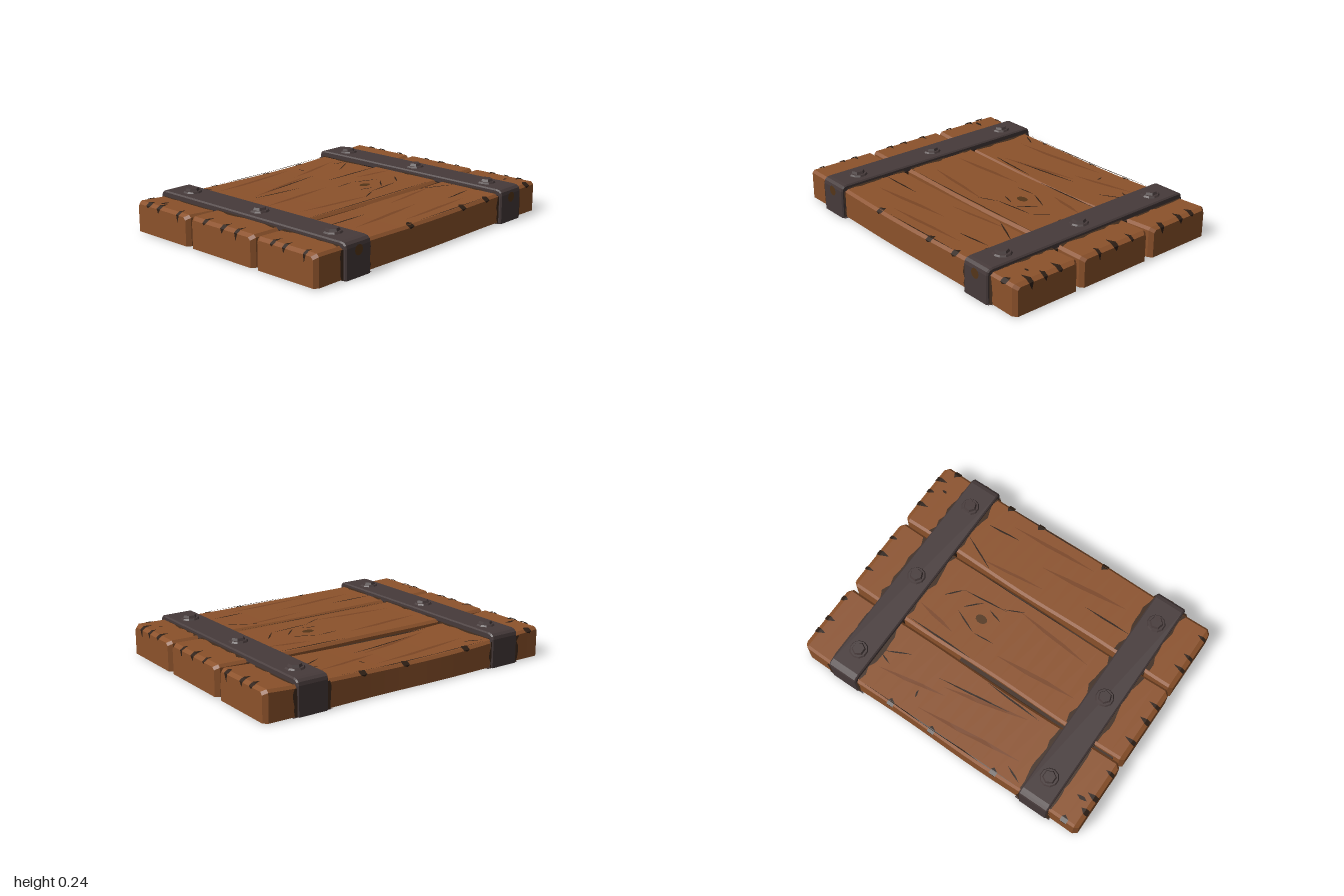
import * as THREE from 'three';

const mat = (name, color, side = THREE.FrontSide) => {
  const m = new THREE.MeshStandardMaterial({ color, side });
  m.name = name;
  return m;
};

export function createModel() {
  const root = new THREE.Group();
  root.name = 'plankPanel';
  const wood = mat('wood', 0x8c522b);
  const grain = mat('darkGrain', 0x7b4625, THREE.DoubleSide);
  const stain = mat('stain', 0x3f2b1d, THREE.DoubleSide);
  const crack = mat('crack', 0x2e1f15, THREE.DoubleSide);
  const knotWood = mat('knotWood', 0x543519, THREE.DoubleSide);
  const iron = mat('iron', 0x463a3a, THREE.DoubleSide);

  let seed = 7;
  const rnd = () => (seed = (seed * 16807) % 2147483647) / 2147483647;
  const add = (name, geo, material, parent = root) => {
    const m = new THREE.Mesh(geo, material);
    m.name = name;
    parent.add(m);
    return m;
  };
  const flat = (g) => {
    const f = g.index ? g.toNonIndexed() : g;
    f.computeVertexNormals();
    return f;
  };
  const faces = (pts, index) => {
    const g = new THREE.BufferGeometry();
    g.setAttribute('position', new THREE.Float32BufferAttribute(pts.flat(), 3));
    g.setIndex(index);
    return flat(g);
  };

  // Height of the worn top surface; the back plank sags in the middle
  const top = (x, z) => 0.181 + 0.011 * x * x - (z < -0.27 ? 0.024 * (1 - x * x) : 0);
  const C = 0.016, END = 0.996;

  // Planks: chamfered cross-sections lofted along x
  const planks = [
    { name: 'backPlank', z0: -0.75, z1: -0.283 },
    { name: 'middlePlank', z0: -0.262, z1: 0.262 },
    { name: 'frontPlank', z0: 0.286, z1: 0.74 },
  ];
  planks.forEach(({ name, z0, z1 }, k) => {
    const xs = [-END, -0.97];
    for (let i = -9; i <= 9; i++) xs.push(i / 10);
    xs.push(0.97, END);
    const pts = [], idx = [], n = 6;
    xs.forEach((x, i) => {
      const tip = Math.abs(x) === END ? 0.02 : 0;
      const a = z0 + tip + 0.004 * Math.sin(6 * x + k * 2), b = z1 - tip + 0.004 * Math.sin(5 * x + k);
      const h = top(x, (z0 + z1) / 2) - tip * 0.8;
      [[0.004, a], [h - C, a], [h, a + C], [h, b - C], [h - C, b], [0.004, b]]
        .forEach(([y, z]) => pts.push([x, y, z]));
      if (i === 0) return;
      for (let j = 0; j < n; j++) {
        const p = (i - 1) * n + j, q = (i - 1) * n + (j + 1) % n;
        idx.push(p, q, p + n, q, q + n, p + n);
      }
    });
    const last = (xs.length - 1) * n;
    for (let j = 1; j < n - 1; j++) idx.push(0, j + 1, j, last, last + j, last + j + 1);
    add(name, faces(pts, idx), wood);
  });

  // Dark packing in the gaps under the straps and along the back gap
  const box = (name, sx, sy, sz, x, y, z) =>
    add(name, new THREE.BoxGeometry(sx, sy, sz), stain).position.set(x, y, z);
  for (const x of [-0.7, 0.7])
    for (const z of [-0.272, 0.274]) box('gapPacking', 0.2, 0.17, 0.03, x, 0.09, z);
  box('gapShadow', 1.1, 0.1, 0.024, -0.38, 0.1, -0.272);

  // Thin tapering marks lying on the top surface: x1, z1, x2, z2, width
  const spindle = (name, material, [x1, z1, x2, z2, w], lift) => {
    const d = Math.hypot(x2 - x1, z2 - z1), nx = -(z2 - z1) / d, nz = (x2 - x1) / d;
    const pts = [[0, 0], [0.35, 0.5], [0.7, 0.35], [1, 0], [0.6, -0.5], [0.25, -0.3]].map(([t, s]) => {
      const x = x1 + (x2 - x1) * t + nx * s * w, z = z1 + (z2 - z1) * t + nz * s * w;
      return [x, top(x, z) + lift, z];
    });
    add(name, faces(pts, [0, 1, 5, 1, 4, 5, 1, 2, 4, 2, 3, 4]), material);
  };
  [[-0.5, -0.6, 0.2, -0.67, 0.03], [-0.4, -0.36, 0.15, -0.48, 0.03], [0.1, -0.52, 0.55, -0.6, 0.025],
    [-0.55, -0.1, 0, -0.14, 0.03], [-0.5, 0.12, 0.05, 0.18, 0.025], [-0.5, 0.56, 0.1, 0.5, 0.03],
    [-0.2, 0.66, 0.4, 0.63, 0.025], [0, 0.38, 0.45, 0.33, 0.02], [0.3, -0.17, 0.58, -0.12, 0.025]]
    .forEach((s) => spindle('grainStreak', grain, s, 0.003));
  [[-0.28, -0.385, 0.21, -0.45, 0.012], [0.25, -0.63, 0.26, -0.58, 0.012], [-0.6, 0.43, -0.27, 0.43, 0.012],
    [0.35, 0.3, 0.6, 0.42, 0.01], [0.31, 0.57, 0.54, 0.55, 0.012], [0.05, -0.09, 0.2, -0.1, 0.008],
    [0.2, -0.1, 0.36, -0.03, 0.01], [0.1, 0.05, 0.2, 0.08, 0.01], [0.35, 0, 0.25, 0.1, 0.01],
    [0.49, 0, 0.4, 0.1, 0.01], [0.4, 0.1, 0.1, 0.13, 0.01], [0, 0.19, 0.13, 0.13, 0.008],
    [-0.45, -0.33, -0.05, -0.305, 0.012], [-0.56, -0.71, -0.45, -0.66, 0.012], [0.42, -0.42, 0.58, -0.5, 0.01],
    [-0.95, -0.58, -0.88, -0.575, 0.025], [0.88, 0.575, 0.915, 0.58, 0.018], [0.5, -0.55, 0.58, -0.52, 0.01],
    [-0.58, -0.735, 0.58, -0.735, 0.008], [-0.58, 0.245, 0.58, 0.248, 0.008], [0.1, -0.245, 0.58, -0.24, 0.012],
    [-0.15, 0.727, 0.5, 0.725, 0.008]]
    .forEach((s) => spindle('crackLine', crack, s, 0.005));

  // Splits folding over an edge: along the edge, half width, reach inward, drop down
  const chip = (along, edge, s, w, reach, drop, onEnd) => {
    const put = (a, out, dy) => {
      const o = edge - s * out, x = onEnd ? o : a, z = onEnd ? a : o;
      return [x, top(onEnd ? edge : a, onEnd ? a : edge) + 0.004 + dy, z];
    };
    const e = -0.003;
    add('edgeSplit', faces([put(along + w * 0.4, reach, 0), put(along - w, C * 1.4, 0), put(along + w, C * 1.4, 0),
      put(along - w, e, -C), put(along + w, e, -C), put(along - w * 0.3, e, -C - drop)],
    [0, 1, 2, 1, 3, 2, 2, 3, 4, 3, 5, 4]), crack);
  };
  [-0.61, -0.53, -0.38, -0.14, 0, 0.14, 0.42, 0.53, 0.64].forEach((z, i) => {
    for (const s of [-1, 1])
      chip(z + (rnd() - 0.5) * 0.05, s * END, s, 0.01 + rnd() * 0.009, 0.04 + rnd() * 0.04, 0.015 + (i % 3) * 0.016, true);
  });
  [-0.23, 0.25, 0.48, 0.9].forEach((x) => chip(x, 0.742, 1, 0.022, 0.045, 0.012, false));
  [-0.4, 0.05, 0.35, -0.9].forEach((x) => chip(x, -0.753, -1, 0.022, 0.04, 0.012, false));

  // Knot, showing on both faces
  const disc = (name, material, r, x, y, z, rx, sx = 1) => {
    const m = add(name, new THREE.CircleGeometry(r, 10), material);
    m.position.set(x, y, z);
    m.rotation.x = rx;
    m.scale.x = sx;
  };
  disc('knot', knotWood, 0.028, 0.205, 0.187, 0, -Math.PI / 2, 1.4);
  disc('knotUnderside', crack, 0.018, 0.205, 0.002, 0, Math.PI / 2, 1.2);

  // Ragged ribbon across the panel; path gives [y, z], centred on x
  const ribbon = (name, material, x, path, half, jitter) => {
    const pts = [], idx = [];
    path.forEach(([y, z], i) => {
      pts.push([x - half - rnd() * jitter, y, z], [x + half + rnd() * jitter, y, z]);
      if (i) idx.push(2 * i - 2, 2 * i - 1, 2 * i, 2 * i - 1, 2 * i + 1, 2 * i);
    });
    add(name, faces(pts, idx), material);
  };
  const span = (a, b, n, f) => Array.from({ length: n + 1 }, (_, i) => f(a + (b - a) * i / n));

  // Strap section: an open-bottomed band with rounded shoulders
  const section = new THREE.Shape();
  const W = 0.757, H = 0.206, T = 0.017;
  section.moveTo(-W, 0.008);
  section.lineTo(-W, H - 0.03);
  section.quadraticCurveTo(-W, H, -W + 0.035, H);
  section.lineTo(W - 0.035, H);
  section.quadraticCurveTo(W, H, W, H - 0.03);
  section.lineTo(W, 0.008);
  section.lineTo(W - T, 0.008);
  section.lineTo(W - T, H - T - 0.01);
  section.lineTo(-W + T, H - T - 0.01);
  section.lineTo(-W + T, 0.008);
  const strapGeo = new THREE.ExtrudeGeometry(section, {
    depth: 0.184, bevelEnabled: true, bevelThickness: 0.008, bevelSize: 0.008, bevelSegments: 1, curveSegments: 3,
  });
  strapGeo.translate(0, 0, -0.092).rotateY(-Math.PI / 2);

  // Hexagonal bolt on a low collar
  const collar = flat(new THREE.CylinderGeometry(0.052, 0.06, 0.012, 10));
  const head = flat(new THREE.CylinderGeometry(0.036, 0.046, 0.02, 6));

  for (const side of [-1, 1]) {
    const x = side * 0.695;
    const strap = new THREE.Group();
    strap.name = side > 0 ? 'leftStrap' : 'rightStrap';
    root.add(strap);
    add('strapBand', flat(strapGeo), iron, strap).position.x = x;
    for (const z of [-0.59, 0, 0.575]) {
      add('boltCollar', collar, iron, strap).position.set(x, 0.218, z);
      const h = add('boltHead', head, iron, strap);
      h.position.set(x, 0.229, z);
      h.rotation.y = rnd() * 2;
    }
    // Stains beside the strap, on each plank top and the outer walls
    for (const { z0, z1 } of planks)
      ribbon('strapStain', stain, x, span(z0 + C, z1 - C, 9, (z) => [top(x, z) + 0.006, z]), 0.1, 0.03);
    ribbon('frontStain', stain, x, span(0.004, 0.175, 5, (y) => [y, 0.748]), 0.102, 0.025);
    ribbon('backStain', stain, x, span(0.004, 0.165, 5, (y) => [y, -0.758]), 0.102, 0.025);
    // Iron underside
    ribbon('strapUnderside', iron, x, span(-0.76, 0.76, 24, (z) => [0.001, z]), 0.1, 0.03);
    // Rust spot on the front of the strap
    disc('rustSpot', knotWood, 0.032, x, 0.155, 0.767, 0);
  }
  return root;
}
